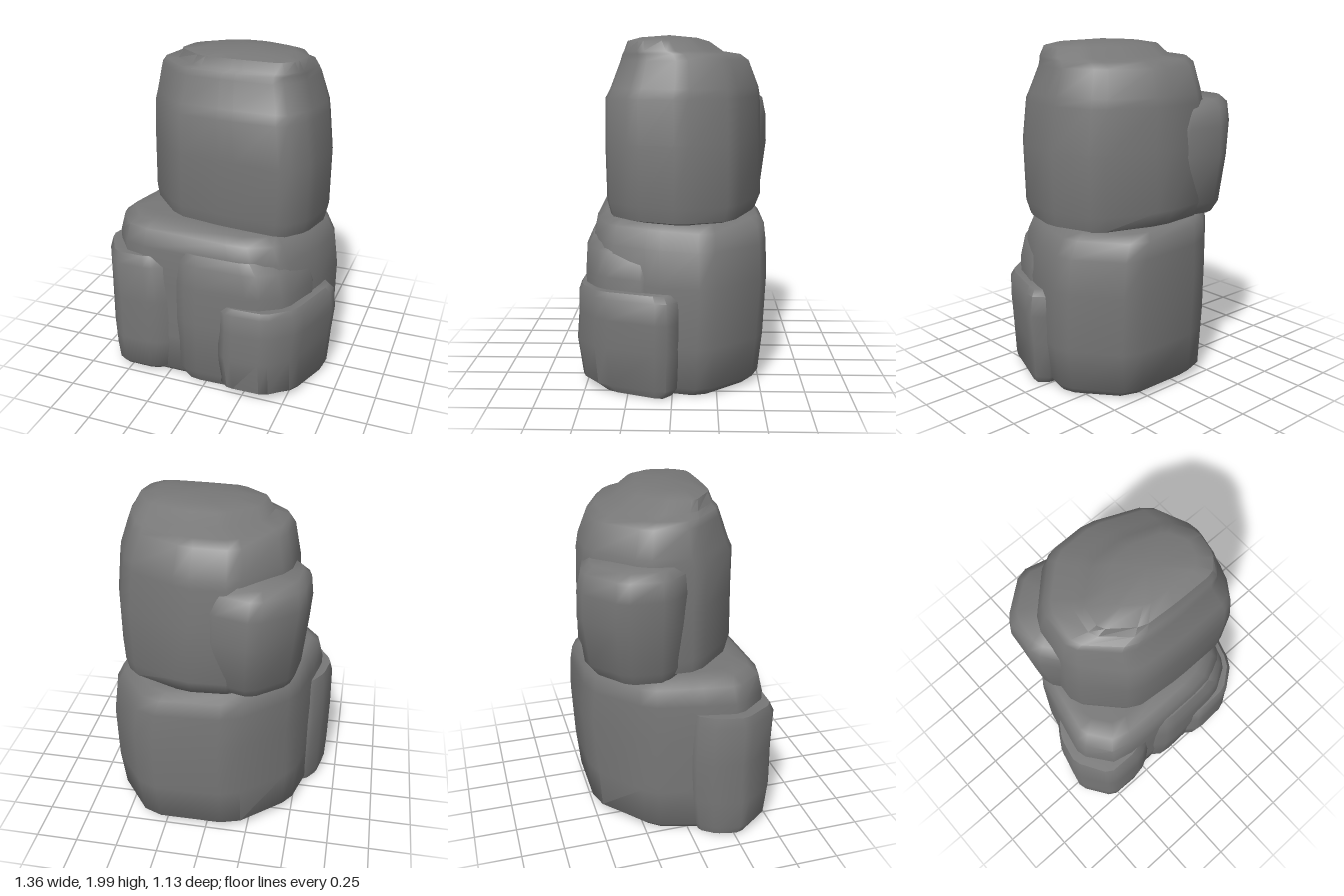
import * as THREE from 'three';
import { toCreasedNormals } from 'three/addons/utils/BufferGeometryUtils.js';

const stone = new THREE.MeshStandardMaterial({ color: 0x777777 });

// Cut every plan corner into two, for worn edges
function wear(plan) {
  return plan.flatMap((p, i) => {
    const a = plan[(i + plan.length - 1) % plan.length], b = plan[(i + 1) % plan.length];
    const mix = (q) => [p[0] + (q[0] - p[0]) * 0.14, p[1] + (q[1] - p[1]) * 0.14];
    return [mix(a), mix(b)];
  });
}

// Loft a plan (x, z) through rings [y, xMin, xMax, zMin, zMax], then tilt the ends
function rock(name, plan, rings, { topTilt = [0, 0], baseTilt = [0, 0], dome = 0.01 } = {}) {
  const pts = wear(plan), n = pts.length;
  const xs = pts.map((p) => p[0]), zs = pts.map((p) => p[1]);
  const x0 = Math.min(...xs), x1 = Math.max(...xs), z0 = Math.min(...zs), z1 = Math.max(...zs);
  const yLow = rings[0][0], yHigh = rings[rings.length - 1][0];
  const pos = [], index = [];
  const add = (x, y, z) => {
    const t = (y - yLow) / (yHigh - yLow), up = Math.max(0, t * 2 - 1), down = Math.max(0, 1 - t * 2);
    const tilt = up * (topTilt[0] * x + topTilt[1] * z) + down * (baseTilt[0] * x + baseTilt[1] * z);
    // shallow dents
    const dent = 1 + 0.012 * Math.sin(7 * x + 5 * y) * Math.sin(6 * z - 4 * y + 1);
    pos.push(x * dent, y + tilt, z * dent);
  };
  rings.forEach(([y, a, b, c, d]) => pts.forEach(([x, z]) =>
    add(a + (b - a) * (x - x0) / (x1 - x0), y, c + (d - c) * (z - z0) / (z1 - z0))));
  for (let i = 0; i < rings.length - 1; i++) {
    for (let j = 0; j < n; j++) {
      const k = (j + 1) % n, a = i * n + j, b = i * n + k;
      index.push(a, b, b + n, a, b + n, a + n);
    }
  }
  // end caps
  const [first, last] = [rings[0], rings[rings.length - 1]];
  const base = pos.length / 3;
  add((first[1] + first[2]) / 2, yLow, (first[3] + first[4]) / 2);
  add((last[1] + last[2]) / 2, yHigh + dome, (last[3] + last[4]) / 2);
  const top = (rings.length - 1) * n;
  for (let j = 0; j < n; j++) {
    const k = (j + 1) % n;
    index.push(base, k, j, base + 1, top + j, top + k);
  }
  const geo = new THREE.BufferGeometry();
  geo.setAttribute('position', new THREE.Float32BufferAttribute(pos, 3));
  geo.setIndex(index);
  const mesh = new THREE.Mesh(toCreasedNormals(geo, 0.9), stone);
  mesh.name = name;
  return mesh;
}

export function createModel() {
  const model = new THREE.Group();
  model.name = 'stackedRocks';

  // Lower boulder and the slabs bedded against it
  const lower = new THREE.Group();
  lower.name = 'lowerBoulder';
  lower.add(
    rock('lowerCore',
      [[-0.62, 0.27], [-0.47, 0.46], [0.27, 0.46], [0.47, 0.36], [0.58, 0.1], [0.64, -0.2],
        [0.38, -0.55], [-0.16, -0.54], [-0.5, -0.24], [-0.57, 0.03]],
      [[0.01, -0.55, 0.56, -0.44, 0.4], [0.06, -0.6, 0.6, -0.5, 0.45], [0.3, -0.61, 0.63, -0.52, 0.47],
        [0.65, -0.61, 0.64, -0.54, 0.47], [0.86, -0.61, 0.61, -0.53, 0.47],
        [0.96, -0.59, 0.56, -0.52, 0.45], [1.0, -0.54, 0.5, -0.48, 0.4], [1.01, -0.46, 0.42, -0.4, 0.32]],
      { topTilt: [-0.04, 0.02], dome: -0.01 }),
    rock('frontSlab',
      [[-0.26, 0.3], [-0.21, 0.44], [-0.1, 0.52], [0.3, 0.51], [0.45, 0.41], [0.55, 0.15], [0.4, 0], [-0.1, 0.1]],
      [[0.02, -0.22, 0.5, 0, 0.46], [0.1, -0.25, 0.53, 0, 0.5], [0.45, -0.25, 0.57, 0, 0.52],
        [0.68, -0.25, 0.57, 0, 0.52], [0.82, -0.24, 0.53, 0, 0.51], [0.88, -0.22, 0.46, 0, 0.48]],
      { topTilt: [-0.02, 0], dome: 0 }),
    rock('leftSlab',
      [[-0.68, 0.3], [-0.55, 0.51], [-0.31, 0.51], [-0.18, 0.44], [-0.12, 0.25], [-0.45, 0], [-0.57, 0.01], [-0.64, 0.12]],
      [[0.02, -0.65, -0.2, 0.05, 0.44], [0.07, -0.665, -0.16, 0.03, 0.49], [0.25, -0.675, -0.13, 0.01, 0.51],
        [0.52, -0.685, -0.13, 0, 0.51], [0.76, -0.675, -0.15, 0.01, 0.51], [0.82, -0.66, -0.19, 0.02, 0.48]],
      { dome: 0.01 }),
    rock('rightSlab',
      [[0.1, 0.5], [0.17, 0.56], [0.4, 0.55], [0.55, 0.42], [0.68, 0.03], [0.6, -0.06], [0.4, 0], [0.15, 0.3]],
      [[0.015, 0.14, 0.63, 0, 0.45], [0.06, 0.11, 0.65, -0.03, 0.53], [0.28, 0.1, 0.66, -0.04, 0.56],
        [0.45, 0.1, 0.68, -0.04, 0.55], [0.57, 0.1, 0.67, -0.04, 0.55], [0.605, 0.12, 0.64, -0.02, 0.53]],
      { dome: 0 }));

  // Upper boulder with a slab on its back corner
  const upper = new THREE.Group();
  upper.name = 'upperBoulder';
  upper.add(
    rock('upperCore',
      [[-0.49, 0.07], [-0.23, 0.34], [0.1, 0.37], [0.46, 0.37], [0.57, 0.22], [0.62, -0.05],
        [0.5, -0.35], [0.13, -0.52], [-0.17, -0.52], [-0.45, -0.24]],
      [[1.0, -0.4, 0.51, -0.43, 0.29], [1.02, -0.46, 0.57, -0.48, 0.35], [1.1, -0.47, 0.59, -0.51, 0.37],
        [1.42, -0.47, 0.6, -0.51, 0.37], [1.66, -0.46, 0.57, -0.5, 0.37], [1.71, -0.45, 0.56, -0.49, 0.345],
        [1.86, -0.42, 0.51, -0.43, 0.29], [1.895, -0.39, 0.5, -0.38, 0.28], [1.91, -0.3, 0.49, -0.28, 0.27],
        [1.965, -0.26, 0.46, -0.2, 0.25], [1.985, -0.12, 0.38, -0.13, 0.18]],
      { baseTilt: [-0.05, 0.03], dome: 0.015 }),
    rock('backSlab',
      [[-0.55, -0.12], [-0.4, 0.08], [-0.1, -0.1], [0.06, -0.4], [-0.02, -0.51], [-0.28, -0.57], [-0.52, -0.37]],
      [[1.01, -0.47, 0, -0.48, 0.02], [1.08, -0.5, 0.03, -0.53, 0.04], [1.36, -0.535, 0.05, -0.56, 0.05],
        [1.52, -0.55, 0.05, -0.56, 0.05], [1.63, -0.535, 0.02, -0.54, 0.04], [1.67, -0.49, -0.02, -0.49, 0]]));

  model.add(lower, upper);
  return model;
}
